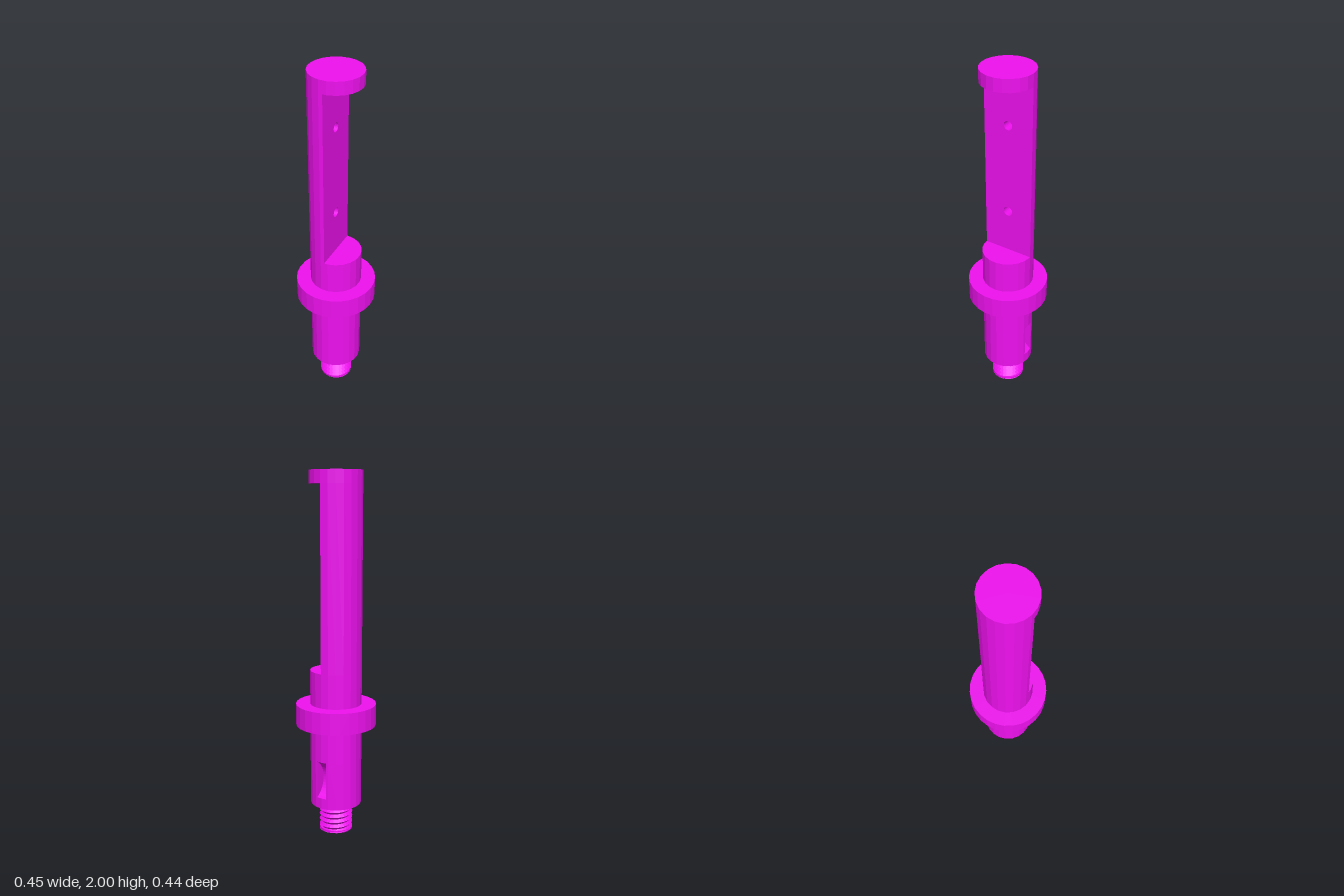
import * as THREE from 'three';

const R = 0.143, SIDES = 21;

// Surface through rows of [x, y, z] points
function loft(rows) {
  const pos = [], idx = [], n = rows[0].length;
  rows.forEach((row) => row.forEach((p) => pos.push(...p)));
  for (let i = 0; i < rows.length - 1; i++) {
    for (let j = 0; j < n - 1; j++) {
      const a = i * n + j, b = a + n;
      idx.push(a, a + 1, b, b, a + 1, b + 1);
    }
  }
  const g = new THREE.BufferGeometry();
  g.setAttribute('position', new THREE.Float32BufferAttribute(pos, 3));
  g.setIndex(idx);
  g.computeVertexNormals();
  return g;
}

// Upright wall over a plan of [x, z] points
const wall = (plan, y0, y1) => loft([y0, y1].map((y) => plan.map(([x, z]) => [x, y, z])));

// Corner k of the shaft's plan, counted from the back
const corner = (k) => {
  const a = Math.PI + (k * 2 * Math.PI) / SIDES;
  return [R * Math.sin(a), R * Math.cos(a)];
};

export function createModel() {
  const model = new THREE.Group();
  const solid = new THREE.MeshStandardMaterial({ color: 0xee11ee, flatShading: true });
  const open = solid.clone();
  open.side = THREE.DoubleSide;

  const add = (name, geometry, material = solid) => {
    const mesh = new THREE.Mesh(geometry, material);
    mesh.name = name;
    model.add(mesh);
    return mesh;
  };
  const disc = (name, r, y0, y1, sides) => {
    const g = new THREE.CylinderGeometry(r, r, y1 - y0, sides);
    g.rotateY(Math.PI).translate(0, (y0 + y1) / 2, 0);
    return add(name, g);
  };

  // Full round sections
  const slotLow = 0.22, slotHigh = 0.43;
  disc('lowerShaftEnd', R, 0.16, slotLow, SIDES);
  disc('lowerShaft', R, slotHigh, 0.62, SIDES);
  disc('collar', 0.223, 0.62, 0.74, 27);
  disc('upperShaft', R, 0.74, 0.93, SIDES);
  disc('topCap', R, 1.93, 2, SIDES);

  // Shaft wall around the key slot, open at the back
  const w = 0.03;
  const mouthZ = -R + w * Math.tan(Math.PI / SIDES);
  const around = [[-w, mouthZ]];
  for (let k = 1; k < SIDES; k++) around.push(corner(k));
  around.push([w, mouthZ]);
  add('slottedShaft', wall(around, slotLow, slotHigh), open);

  // Key slot: curved floor and two flat cheeks
  const half = (slotHigh - slotLow) / 2, midY = (slotHigh + slotLow) / 2, depth = 0.06;
  const arcR = (half * half + depth * depth) / (2 * depth);
  const sweep = Math.asin(half / arcR);
  const arc = [];
  for (let i = 0; i <= 16; i++) {
    const t = sweep * (i / 8 - 1);
    arc.push([midY + arcR * Math.sin(t), mouthZ + depth - arcR + arcR * Math.cos(t)]);
  }
  add('keySlotFloor', loft([-w, w].map((x) => arc.map(([y, z]) => [x, y, z]))), open);
  for (const x of [-w, w]) {
    const cheek = loft([arc.map(([y, z]) => [x, y, z]), arc.map(([y]) => [x, y, mouthZ])]);
    add('keySlotCheek', cheek, open);
  }

  // Half-round upper section: outer wall and flat face with two holes
  const frontZ = R * Math.cos(Math.PI / SIDES);
  const halfPlan = [];
  for (let k = 0; k <= 10; k++) halfPlan.push(corner(k));
  halfPlan.push([0, frontZ]);
  add('halfShaftWall', wall(halfPlan, 0.93, 1.93), open);

  const face = new THREE.Shape();
  face.moveTo(-frontZ, 0.93).lineTo(R, 0.93).lineTo(R, 1.93).lineTo(-frontZ, 1.93).closePath();
  const holeDepth = 0.1;
  for (const [y, r] of [[1.18, 0.027], [1.69, 0.025]]) {
    face.holes.push(new THREE.Path().absarc(0, y, r, 0, Math.PI * 2, true));
    const bore = new THREE.CylinderGeometry(r, r, holeDepth, 24, 1, true);
    bore.rotateZ(Math.PI / 2).translate(-holeDepth / 2, y, 0);
    add('screwHole', bore, open);
    const end = new THREE.CircleGeometry(r, 24).rotateY(Math.PI / 2).translate(-holeDepth, y, 0);
    add('screwHoleEnd', end, open);
  }
  add('flatFace', new THREE.ShapeGeometry(face, 12).rotateY(Math.PI / 2), open);

  // Threaded stud: V profile swept along a helix, trimmed at both ends
  const pitch = 0.03, top = 0.162, perTurn = 28, turns = 7;
  const profile = [[0.079, 0], [0.094, pitch / 2], [0.079, pitch]];
  const rows = profile.map(([r, dy]) => {
    const row = [];
    for (let i = 0; i <= perTurn * turns; i++) {
      const t = (i / perTurn) * Math.PI * 2;
      const y = THREE.MathUtils.clamp((i / perTurn - 1) * pitch + dy, 0, top);
      row.push([r * Math.sin(t), y, r * Math.cos(t)]);
    }
    return row;
  });
  add('thread', loft(rows), open);
  disc('studEnd', 0.092, 0, 0.012, perTurn);

  return model;
}
